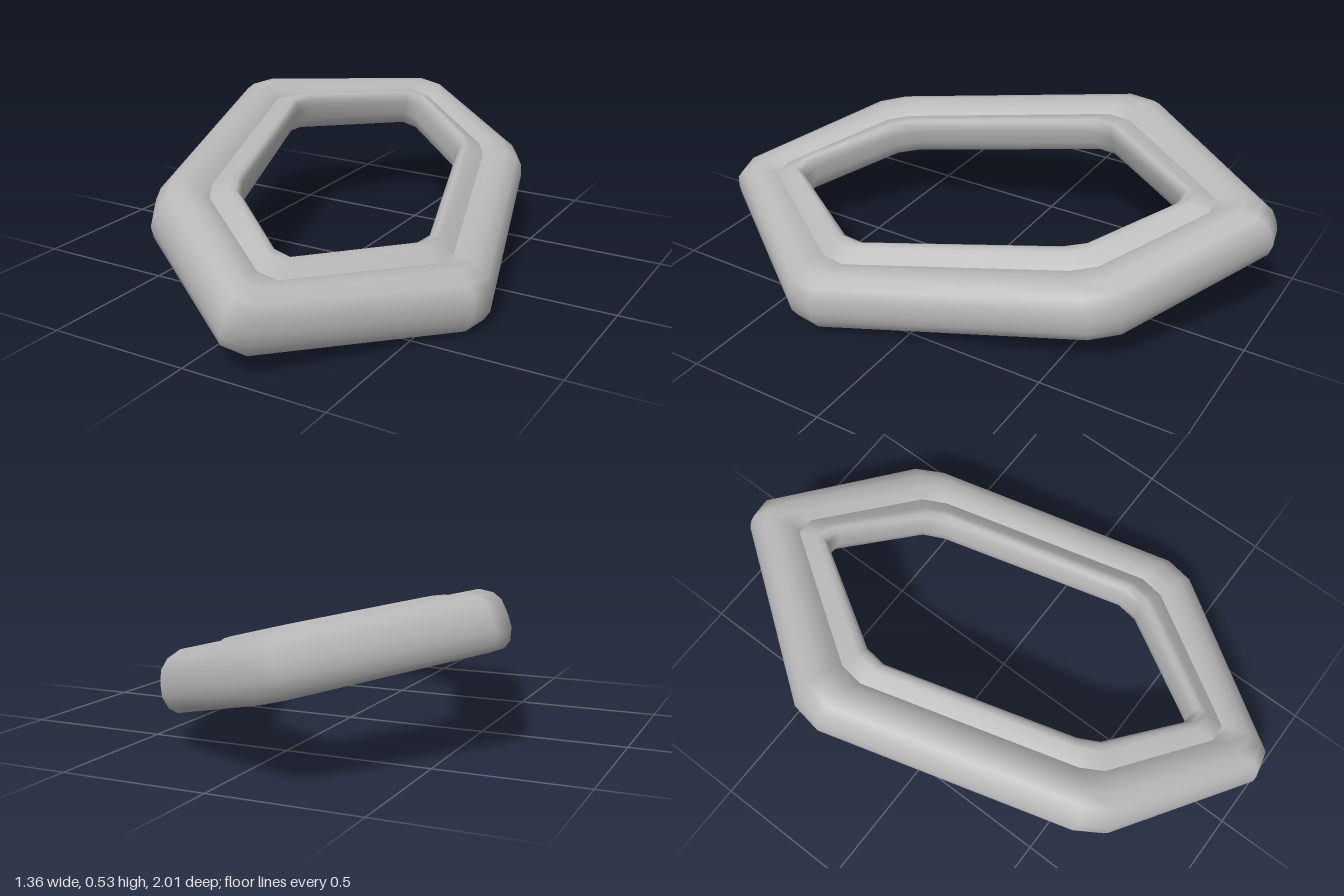
import * as THREE from 'three';

// Half of each six-sided loop (x, z), two points per blunted corner; the other half is its mirror through the centre
const OUTER = [[-0.23, -0.985], [-0.15, -1.0], [0.34, -0.70], [0.40, -0.61], [0.672, 0.28], [0.655, 0.385]];
const INNER = [[-0.165, -0.69], [-0.105, -0.69], [0.155, -0.50], [0.195, -0.43], [0.405, 0.23], [0.395, 0.31]];

// Cross-sections: [position from inner loop (0) to outer loop (1), height above the ring plane]
const OUTER_SECTION = [[0.36, 0.08], [0.5, 0.099], [0.69, 0.103], [0.86, 0.082], [0.96, 0.05],
  [1.0, 0.005], [1.01, -0.035], [0.96, -0.075], [0.87, -0.095], [0.65, -0.084], [0.36, -0.058]];
const INNER_SECTION = [[0.36, -0.058], [0.1, -0.036], [0.02, -0.015], [-0.01, 0.02], [-0.02, 0.07],
  [0.0, 0.1], [0.06, 0.112], [0.15, 0.11], [0.36, 0.08]];

const fullLoop = (half) => [...half, ...half.map(([x, z]) => [-x, -z])];

// Sweep a cross-section round the tilted, stretched hexagon
function sweep(section) {
  const outer = fullLoop(OUTER), inner = fullLoop(INNER);
  const count = outer.length, n = section.length;
  const positions = [], index = [];
  for (let i = 0; i < count; i++) {
    for (const [t, h] of section) {
      const x = THREE.MathUtils.lerp(inner[i][0], outer[i][0], t);
      const z = THREE.MathUtils.lerp(inner[i][1], outer[i][1], t);
      positions.push(x + 0.243 * h, 0.265 - 0.25 * x - 0.055 * z + 0.97 * h, z + 0.053 * h);
    }
    for (let j = 0; j < n - 1; j++) {
      const a = i * n + j, b = ((i + 1) % count) * n + j;
      index.push(a, b, a + 1, b, b + 1, a + 1);
    }
  }
  const geometry = new THREE.BufferGeometry();
  geometry.setAttribute('position', new THREE.Float32BufferAttribute(positions, 3));
  geometry.setIndex(index);
  geometry.computeVertexNormals();
  return geometry;
}

export function createModel() {
  const group = new THREE.Group();
  group.name = 'hexagonalRing';
  const grey = new THREE.MeshStandardMaterial({ color: 0xb8b8b8, side: THREE.DoubleSide });
  grey.name = 'grey';

  // Thick outer band and slim inner lip, meeting in a crease
  for (const [name, section] of [['outerBand', OUTER_SECTION], ['innerLip', INNER_SECTION]]) {
    const mesh = new THREE.Mesh(sweep(section), grey);
    mesh.name = name;
    group.add(mesh);
  }

  // Stand on the ground, centred
  const box = new THREE.Box3().setFromObject(group);
  const centre = box.getCenter(new THREE.Vector3());
  for (const mesh of group.children) mesh.geometry.translate(-centre.x, -box.min.y, -centre.z);
  return group;
}
